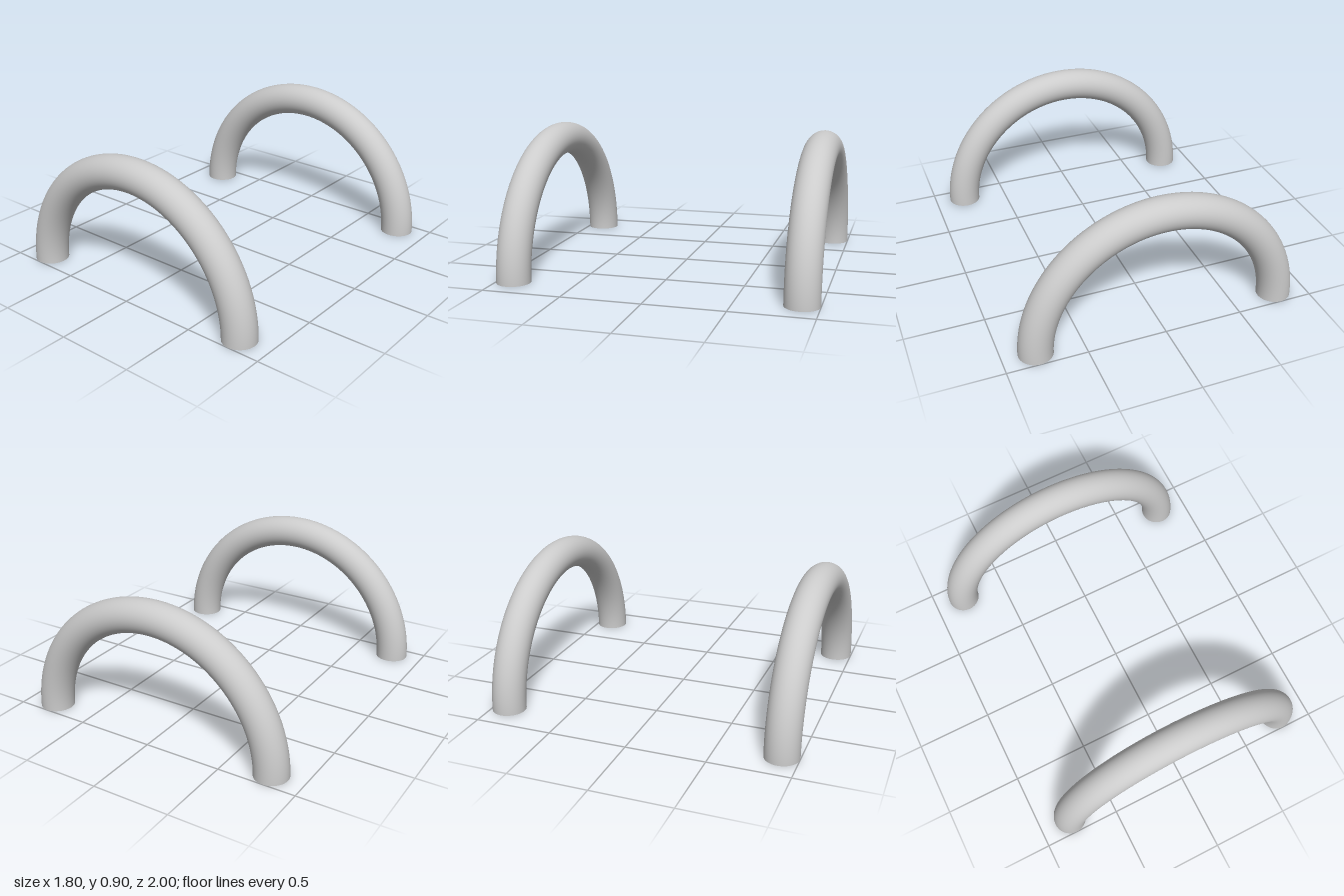
import * as THREE from 'three';

const TUBE = 0.107;          // tube radius
const RING = 0.793;          // arch centreline radius
const OFFSET = 1 - TUBE;     // distance of each arch from the middle

export function createModel() {
  const group = new THREE.Group();
  const material = new THREE.MeshStandardMaterial({ color: 0xcccccc, side: THREE.DoubleSide });

  // Half-ring tube with open ends standing on the ground
  const arch = new THREE.TorusGeometry(RING, TUBE, 48, 96, Math.PI);

  // One arch at the front, one at the back
  for (const [name, z] of [['frontArch', OFFSET], ['backArch', -OFFSET]]) {
    const mesh = new THREE.Mesh(arch, material);
    mesh.name = name;
    mesh.position.z = z;
    group.add(mesh);
  }
  return group;
}
